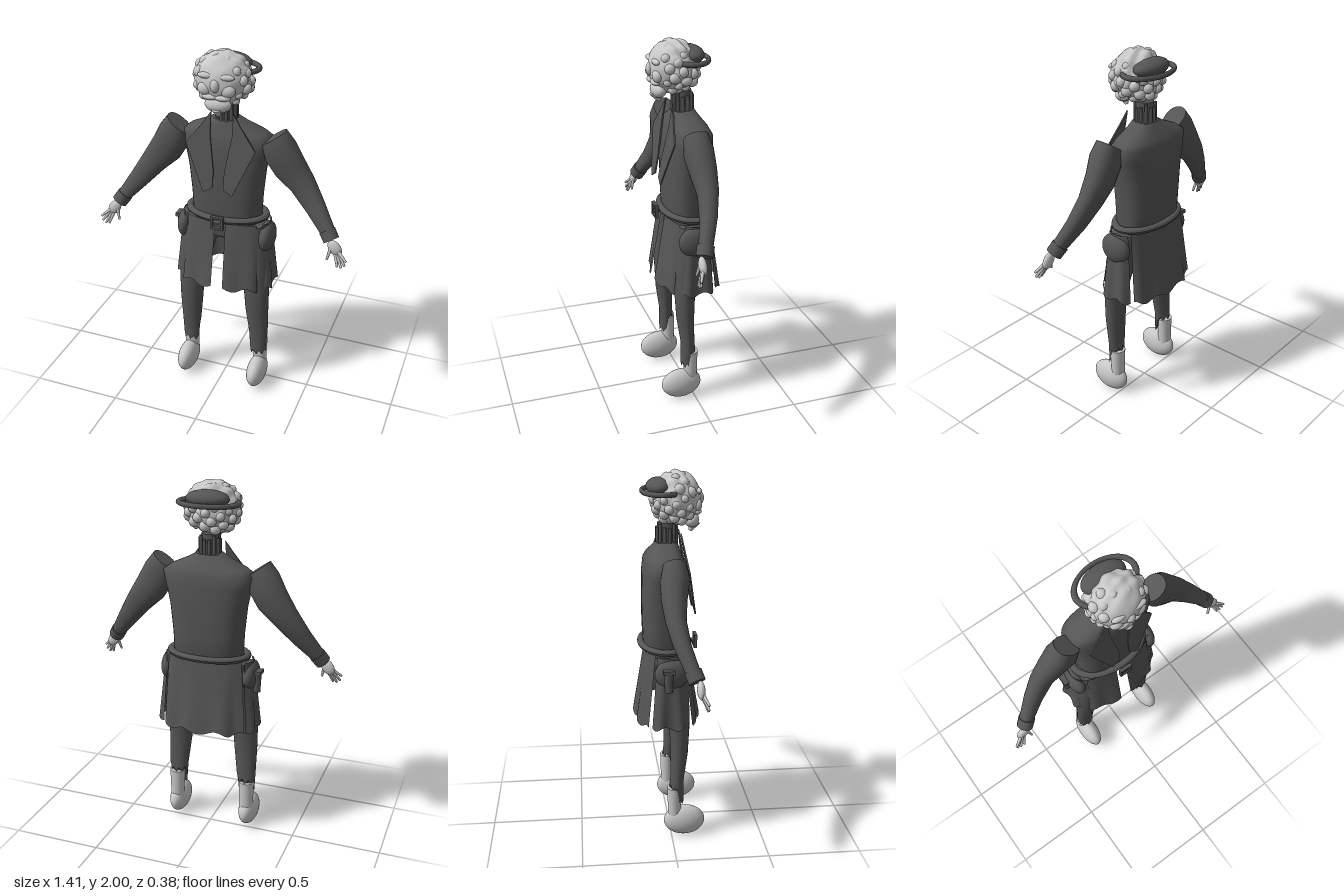
import * as THREE from 'three';
import { mergeVertices } from 'three/addons/utils/BufferGeometryUtils.js';

const V = (x, y, z) => new THREE.Vector3(x, y, z);
const X = V(1, 0, 0), Z = V(0, 0, 1);

// Closed cross-section; pw < 1 makes it boxier
function ring(c, u, v, ru, rv, pw = 1, n = 24) {
  const bend = (t) => Math.sign(t) * Math.abs(t) ** pw;
  return Array.from({ length: n }, (_, j) => {
    const a = (j / n) * Math.PI * 2;
    return c.clone().addScaledVector(u, ru * bend(Math.cos(a))).addScaledVector(v, rv * bend(Math.sin(a)));
  });
}

// Skin between cross-sections, with flat end caps
function loft(rings) {
  const n = rings[0].length, pts = rings.flat(), idx = [];
  for (let i = 0; i < rings.length - 1; i++) for (let j = 0; j < n; j++) {
    const a = i * n + j, b = i * n + (j + 1) % n;
    idx.push(a, a + n, b, b, a + n, b + n);
  }
  for (const [r, end] of [[rings[0], false], [rings[rings.length - 1], true]]) {
    const s = pts.length;
    pts.push(...r);
    for (let j = 1; j < n - 1; j++) idx.push(s, s + (end ? j + 1 : j), s + (end ? j : j + 1));
  }
  const g = new THREE.BufferGeometry().setFromPoints(pts);
  g.setIndex(idx);
  g.computeVertexNormals();
  return g;
}

// Mirror across x with corrected winding
function mirrored(geo) {
  const g = geo.index ? geo.clone() : mergeVertices(geo);
  g.scale(-1, 1, 1);
  const a = g.index.array;
  for (let i = 0; i < a.length; i += 3) [a[i], a[i + 1]] = [a[i + 1], a[i]];
  g.computeVertexNormals();
  return g;
}

const ball = (x, y, z, rx, ry, rz, w = 28, h = 20) =>
  new THREE.SphereGeometry(1, w, h).scale(rx, ry, rz).translate(x, y, z);

// Tapered rod between two points
function rod(a, b, ra, rb, n = 8) {
  const d = b.clone().sub(a);
  const g = new THREE.CylinderGeometry(rb, ra, d.length(), n);
  g.applyQuaternion(new THREE.Quaternion().setFromUnitVectors(V(0, 1, 0), d.clone().normalize()));
  const m = a.clone().add(b).multiplyScalar(0.5);
  return g.translate(m.x, m.y, m.z);
}

// Hanging cloth panel; angle 0 faces the front
function cloth(a0, a1, top, bottom, ripple) {
  const g = new THREE.PlaneGeometry(1, 1, 28, 8), p = g.attributes.position;
  for (let i = 0; i < p.count; i++) {
    const a = a0 + (p.getX(i) + 0.5) * (a1 - a0), t = 0.5 - p.getY(i);
    const wave = 1 + ripple * t * Math.sin(a * 11);
    const bend = (s) => Math.sign(s) * Math.abs(s) ** 0.85;
    p.setXYZ(i, bend(Math.sin(a)) * (0.25 + 0.03 * t) * wave,
      top + (bottom - top + 0.012 * Math.cos(a * 11)) * t,
      -0.01 + bend(Math.cos(a)) * (0.115 + 0.06 * t) * wave);
  }
  g.computeVertexNormals();
  return g;
}

export function createModel() {
  const root = new THREE.Group();
  const dark = new THREE.MeshStandardMaterial({ color: 0x555555 });
  dark.name = 'dark grey cloth';
  dark.side = THREE.DoubleSide;
  const light = new THREE.MeshStandardMaterial({ color: 0xc8c8c8 });
  light.name = 'light grey skin and hair';
  const add = (name, geo, mat) => {
    const m = new THREE.Mesh(geo, mat);
    m.name = name;
    root.add(m);
  };
  const pair = (name, geo, mat) => {
    add('left' + name, geo, mat);
    add('right' + name, mirrored(geo), mat);
  };

  // Coat body: y, half width, front z, back z
  add('coatBody', loft([
    [0.96, 0.16, 0.08, -0.09], [1.08, 0.19, 0.095, -0.135], [1.2, 0.195, 0.1, -0.14], [1.35, 0.21, 0.1, -0.14],
    [1.47, 0.235, 0.095, -0.138], [1.53, 0.25, 0.085, -0.13], [1.56, 0.21, 0.075, -0.115],
    [1.6, 0.12, 0.06, -0.085], [1.63, 0.07, 0.05, -0.065],
  ].map(([y, w, f, b]) => ring(V(0, y, (f + b) / 2), X, Z, w, (f - b) / 2, 0.75, 36))), dark);

  // Lapels slope forward away from the chest
  const lapel = new THREE.ExtrudeGeometry(new THREE.Shape([[0.06, 1.68], [0.06, 1.56], [0.03, 1.37], [0.03, 1.28],
    [0.08, 1.25], [0.19, 1.5], [0.1, 1.62]].map(([x, y]) => new THREE.Vector2(x, y))), { depth: 0.008, bevelEnabled: false });
  const lp = lapel.attributes.position;
  for (let i = 0; i < lp.count; i++) lp.setZ(i, lp.getZ(i) + 0.06 + (1.68 - lp.getY(i)) * 0.18);
  lapel.computeVertexNormals();
  pair('Lapel', lapel, dark);

  // Neck and upright collar strips
  add('neck', new THREE.CylinderGeometry(0.046, 0.052, 0.17, 20).translate(0, 1.65, -0.005), dark);
  for (let i = 0; i < 12; i++) {
    const a = (i / 12) * Math.PI * 2 + 0.26;
    add('collarStrip', new THREE.CylinderGeometry(0.009, 0.01, 0.14, 6)
      .translate(Math.sin(a) * 0.052, 1.645 + 0.012 * Math.sin(i * 2), -0.005 + Math.cos(a) * 0.052), dark);
  }

  // Sleeves: x, y, z, in-plane radius, depth radius
  const arm = [[0.26, 1.562, 0.01, 0.077, 0.06], [0.295, 1.49, 0.008, 0.094, 0.075], [0.345, 1.405, 0, 0.09, 0.066],
    [0.42, 1.315, 0, 0.072, 0.052], [0.5, 1.21, 0.025, 0.056, 0.044], [0.598, 1.085, 0.075, 0.036, 0.036]];
  pair('Sleeve', loft(arm.map(([x, y, z, ru, rv], i) => {
    const d = i === 0 ? V(0.58, -0.81, 0) : V(0.61, -0.79, 0);
    return ring(V(x, y, z), d.clone().cross(Z), Z, ru, rv, 0.9);
  })), dark);
  pair('Cuff', rod(V(0.578, 1.11, 0.066), V(0.608, 1.066, 0.084), 0.044, 0.043, 20), dark);

  // Hands with four fingers and a thumb
  const palm = ball(0, 0, 0, 0.033, 0.048, 0.02, 16, 12);
  palm.rotateZ(0.65).translate(0.632, 1.032, 0.1);
  pair('Palm', palm, light);
  [[0.652, 1.02, 0.703, 0.978], [0.654, 1.01, 0.697, 0.952], [0.647, 1.002, 0.679, 0.938],
    [0.638, 1, 0.658, 0.94], [0.612, 1.03, 0.598, 0.968]].forEach(([x, y, ex, ey], i) => {
    pair(i < 4 ? 'Finger' : 'Thumb', rod(V(x, y, 0.106), V(ex, ey, i < 4 ? 0.132 : 0.12), 0.01, 0.006), light);
  });

  // Belt and open buckle
  const belt = new THREE.TorusGeometry(1, 0.1, 12, 64).rotateX(Math.PI / 2);
  const bp = belt.attributes.position;
  for (let i = 0; i < bp.count; i++) {
    const a = Math.atan2(bp.getZ(i), bp.getX(i)), r = (Math.hypot(bp.getX(i), bp.getZ(i)) - 1) * 0.2;
    bp.setXYZ(i, Math.cos(a) * (0.216 + r), 1.08 + bp.getY(i) * 0.18, -0.018 + Math.sin(a) * (0.128 + r));
  }
  belt.computeVertexNormals();
  add('belt', belt, dark);
  for (const s of [-1, 1]) {
    add('buckleSide', new THREE.BoxGeometry(0.012, 0.075, 0.018).translate(s * 0.03, 1.08, 0.15), dark);
    add('buckleBar', new THREE.BoxGeometry(0.07, 0.012, 0.018).translate(0, 1.08 + s * 0.032, 0.15), dark);
  }
  add('buckleTongue', new THREE.BoxGeometry(0.05, 0.01, 0.05).translate(0, 1.08, 0.132), dark);

  // Skirt of the coat, pouches
  pair('FrontPanel', cloth(0.08, 0.85, 1.06, 0.675, 0.03), dark);
  pair('SidePanel', cloth(1.05, 2.1, 1.06, 0.67, 0.04), dark);
  add('backPanel', cloth(2.2, Math.PI * 2 - 2.2, 1.07, 0.665, 0.04), dark);
  pair('Pocket', ball(0.235, 0.97, 0, 0.045, 0.085, 0.09), dark);
  add('pouch', new THREE.CylinderGeometry(0.026, 0.02, 0.12, 12).translate(-0.275, 0.945, -0.02), dark);
  add('pouchLid', new THREE.BoxGeometry(0.05, 0.02, 0.06).translate(-0.278, 1, -0.02), dark);

  // Trousers with a ragged hem, lower in front
  const hem = ring(V(0.207, 0, 0.03), X, Z, 0.048, 0.04);
  hem.forEach((p, j) => { p.y = (p.z > 0.035 ? 0.2 : 0.29) + (j % 3) * 0.015; });
  pair('Trouser', loft([hem, ...[[0.34, 0.206, 0.032, 0.055, 0.036], [0.5, 0.198, 0.044, 0.066, 0.047],
    [0.66, 0.192, 0.045, 0.073, 0.055], [0.85, 0.165, 0.025, 0.095, 0.075], [1.04, 0.125, 0, 0.105, 0.09]]
    .map(([y, x, z, rx, rz]) => ring(V(x, y, z), X, Z, rx, rz))]), dark);
  add('trouserSeat', new THREE.BoxGeometry(0.14, 0.1, 0.13).translate(0, 0.995, 0), dark);

  // Ankles and rounded shoes
  pair('Ankle', loft([[0.12, 0.04], [0.2, 0.041], [0.295, 0.044]]
    .map(([y, r]) => ring(V(0.213, y, 0.018), X, Z, r, r * 0.92))), light);
  pair('Shoe', ball(0.215, 0.093, 0.072, 0.054, 0.087, 0.114), light);

  // Head: lumpy hair all round, calmer on the face
  const head = new THREE.SphereGeometry(1, 64, 44), hp = head.attributes.position;
  for (let i = 0; i < hp.count; i++) {
    const x = hp.getX(i), y = hp.getY(i), z = hp.getZ(i);
    const hair = THREE.MathUtils.clamp(0.9 - z, 0.25, 1);
    const k = 1 + 0.05 * hair * Math.sin(9 * x + 2) * Math.sin(10 * y) + 0.035 * hair * Math.cos(13 * z + 5 * x);
    const narrow = y < -0.3 ? 1 + (y + 0.3) * 0.25 : 1;
    hp.setXYZ(i, x * 0.146 * k * narrow, 1.86 + y * 0.138 * k, 0.048 + z * 0.125 * k);
  }
  head.computeVertexNormals();
  add('head', head, light);

  // Curls scattered over the sides and back
  for (let i = 0; i < 70; i++) {
    const y = 1 - (2 * i + 1) / 70, a = i * 2.39996, r = Math.sqrt(1 - y * y);
    const x = Math.cos(a) * r, z = Math.sin(a) * r;
    if (z > 0.55 || y < -0.85 || (z < -0.2 && y > 0.2)) continue;
    const s = 0.021 + 0.009 * ((i * 7) % 5) / 4;
    add('curl', ball(x * 0.137, 1.855 + y * 0.122, 0.045 + z * 0.118, s, s, s, 12, 9), light);
  }

  // Face
  pair('Brow', ball(0.055, 1.9, 0.153, 0.042, 0.016, 0.018, 16, 12), light);
  pair('Cheek', ball(0.06, 1.83, 0.147, 0.04, 0.034, 0.026, 16, 12), light);
  add('nose', ball(0, 1.855, 0.168, 0.024, 0.034, 0.022, 16, 12), light);
  pair('Moustache', ball(0.032, 1.792, 0.15, 0.044, 0.017, 0.024, 16, 12), light);
  add('chin', ball(0, 1.745, 0.125, 0.07, 0.042, 0.04), light);
  add('beardTip', rod(V(0, 1.735, 0.145), V(0, 1.685, 0.118), 0.03, 0.01, 12), light);

  // Cap and hat brim ring
  add('cap', ball(0, 1.918, -0.045, 0.118, 0.046, 0.068), dark);
  add('brimRing', new THREE.TorusGeometry(1, 0.1, 10, 64).rotateX(Math.PI / 2)
    .scale(0.158, 0.14, 0.106).translate(0, 1.895, -0.029), dark);
  return root;
}
